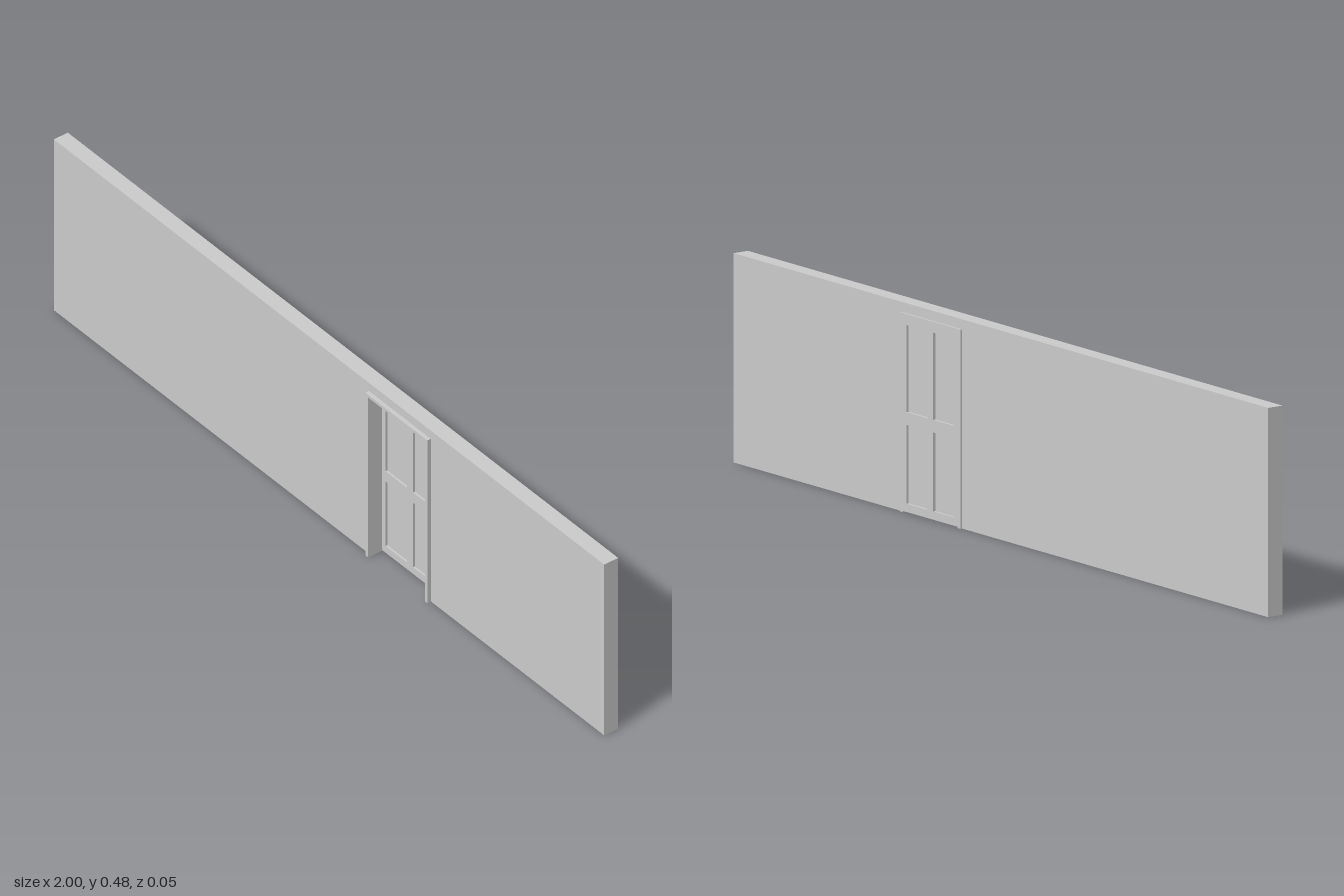
import * as THREE from 'three';

const material = new THREE.MeshStandardMaterial({ color: 0xcccccc, flatShading: true });

// Outline through a list of points
function outline(points, Kind = THREE.Shape) {
  return new Kind(points.map(([x, y]) => new THREE.Vector2(x, y)));
}

function rectPoints(x0, x1, y0, y1) {
  return [[x0, y0], [x1, y0], [x1, y1], [x0, y1]];
}

// Flat shape extruded between two depths
function slab(name, shape, z0, z1) {
  const geometry = new THREE.ExtrudeGeometry(shape, { depth: z1 - z0, bevelEnabled: false });
  geometry.translate(0, 0, z0);
  const mesh = new THREE.Mesh(geometry, material);
  mesh.name = name;
  return mesh;
}

// Upright outline with a doorway cut up from the floor
function arch(x0, x1, top, in0, in1, inTop) {
  return outline([
    [x0, 0], [in0, 0], [in0, inTop], [in1, inTop],
    [in1, 0], [x1, 0], [x1, top], [x0, top],
  ]);
}

export function createModel() {
  const group = new THREE.Group();
  group.name = 'wallWithDoor';
  const left = 0.145, right = 0.37, top = 0.457;
  const inLeft = 0.155, inRight = 0.362, inTop = 0.449;
  const middle = (left + right) / 2;

  // Long wall with the door opening
  group.add(slab('wall', arch(-1, 1, 0.48, 0.15, 0.366, 0.453), -0.022, 0.018));

  // Thin frame standing proud of both wall faces
  group.add(slab('doorFrame', arch(left, right, top, inLeft, inRight, inTop), -0.027, 0.028));

  // Door set at the back of the frame, with four openings
  const door = new THREE.Group();
  door.name = 'door';
  const leaf = outline(rectPoints(inLeft, inRight, 0.003, inTop));
  for (const side of [-1, 1]) {
    for (const [y0, y1] of [[0.022, 0.203], [0.232, 0.432]]) {
      const xs = [middle + side * 0.011, middle + side * 0.089].sort((a, b) => a - b);
      const points = rectPoints(xs[0], xs[1], y0, y1);
      leaf.holes.push(outline(points, THREE.Path));
      // Recessed panel filling the opening
      door.add(slab('doorPanel', outline(points), -0.021, -0.016));
    }
  }
  door.add(slab('doorLeaf', leaf, -0.027, -0.011));
  group.add(door);

  return group;
}
